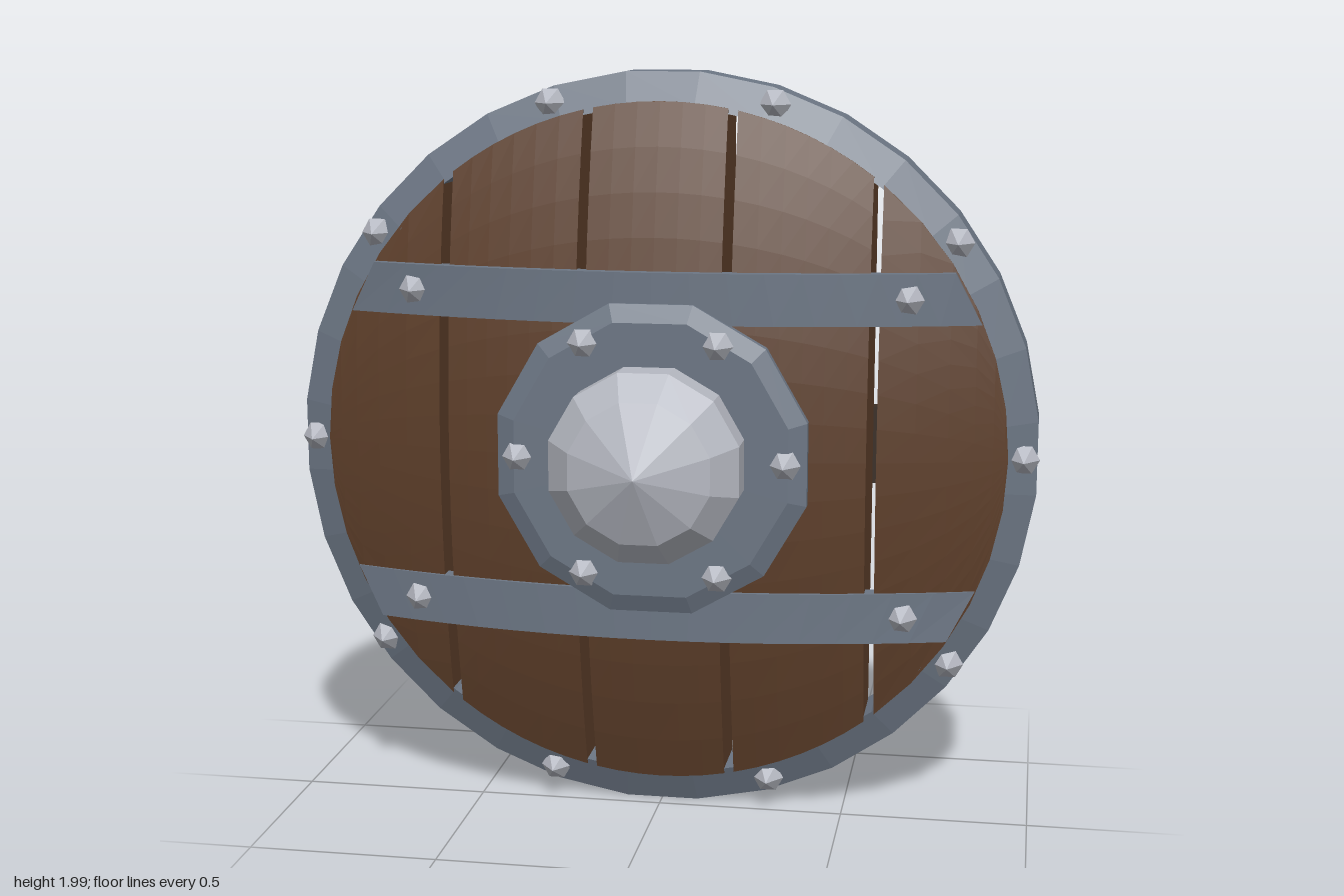
import * as THREE from 'three';

const mat = (color) => new THREE.MeshStandardMaterial({ color, flatShading: true });

export function createModel() {
  const wood = mat(0x5e3f2a), darkWood = mat(0x3a2e26);
  const iron = mat(0x6c7684), steel = mat(0xb6b9c2);
  const shield = new THREE.Group();
  shield.name = 'shield';
  shield.position.y = 1;

  const add = (name, geometry, material, x = 0, y = 0, z = 0) => {
    const mesh = new THREE.Mesh(geometry, material);
    mesh.name = name;
    mesh.position.set(x, y, z);
    shield.add(mesh);
    return mesh;
  };

  // Turned part facing +z; profile is [radius, z], flats at the sides
  const turned = (profile, sides) => new THREE.LatheGeometry(
    profile.map(([r, z]) => new THREE.Vector2(r, z)), sides, Math.PI / sides
  ).rotateX(Math.PI / 2);

  // Unit box whose vertices are moved by a rule (u, v, w in -0.5..0.5)
  const shaped = (segX, segY, rule) => {
    const geo = new THREE.BoxGeometry(1, 1, 1, segX, segY, 1);
    const p = geo.attributes.position;
    for (let i = 0; i < p.count; i++) p.setXYZ(i, ...rule(p.getX(i), p.getY(i), p.getZ(i)));
    geo.computeVertexNormals();
    return geo;
  };

  // Planks: flat back, domed front, trimmed to a circle
  const R = 0.92, BACK = -0.165;
  const edges = [[-R, -0.583], [-0.557, -0.204], [-0.178, 0.178], [0.204, 0.557], [0.583, R]];
  for (const [x0, x1] of edges) {
    const a0 = Math.asin(x0 / R), a1 = Math.asin(x1 / R);
    add('plank', shaped(6, 16, (u, v, w) => {
      const a = a0 + (a1 - a0) * (u + 0.5);
      const x = R * Math.sin(a), y = 2 * v * R * Math.cos(a);
      return [x, y, w > 0 ? 0.14 - 0.18 * (x * x + y * y) : BACK];
    }), wood);
  }

  // Rim
  add('rim', turned([[0.91, -0.182], [1, -0.182], [1, -0.05], [0.91, -0.01], [0.91, -0.182]], 32), iron);

  // Curved bands across the front
  const bandZ = (x) => 0.13 - 0.19 * x * x;
  for (const s of [1, -1]) {
    add('band', shaped(16, 1, (u, v, w) => {
      const y = s * 0.4225 + v * 0.135;
      const x = 2 * u * Math.sqrt(0.915 ** 2 - y * y);
      return [x, y, bandZ(x) - (w > 0 ? 0 : 0.05)];
    }), iron);
  }

  // Boss plate and boss
  add('bossPlate', turned([[0, 0.08], [0.424, 0.08], [0.424, 0.135], [0.375, 0.155], [0, 0.155]], 12), iron);
  add('boss', turned([[0.257, 0.13], [0.257, 0.25], [0.19, 0.32], [0, 0.4]], 12), steel);

  // Studs
  const studGeo = new THREE.ConeGeometry(0.042, 0.055, 6)
    .rotateY(Math.PI / 6).rotateX(Math.PI / 2).translate(0, 0, 0.0225);
  const stud = (name, x, y, z) => add(name, studGeo, steel, x, y, z);
  const studRing = (name, count, radius, z) => {
    for (let i = 0; i < count; i++) {
      const a = (i / count) * Math.PI * 2;
      stud(name, radius * Math.cos(a), radius * Math.sin(a), z);
    }
  };
  studRing('rimStud', 10, 0.96, -0.028);
  studRing('plateStud', 6, 0.353, 0.155);
  for (const sx of [1, -1]) for (const sy of [1, -1])
    stud('bandStud', sx * 0.655, sy * 0.423, bandZ(0.655));

  // Back brace and handle
  const box = (name, w, h, z0, z1, y = 0) =>
    add(name, new THREE.BoxGeometry(w, h, z1 - z0), darkWood, 0, y, (z0 + z1) / 2);
  box('backBrace', 1.38, 0.21, -0.205, -0.16);
  box('grip', 0.15, 0.69, -0.4, -0.308);
  for (const s of [1, -1]) box('handlePost', 0.21, 0.115, -0.352, -0.16, s * 0.287);

  const model = new THREE.Group();
  model.add(shield);
  return model;
}
